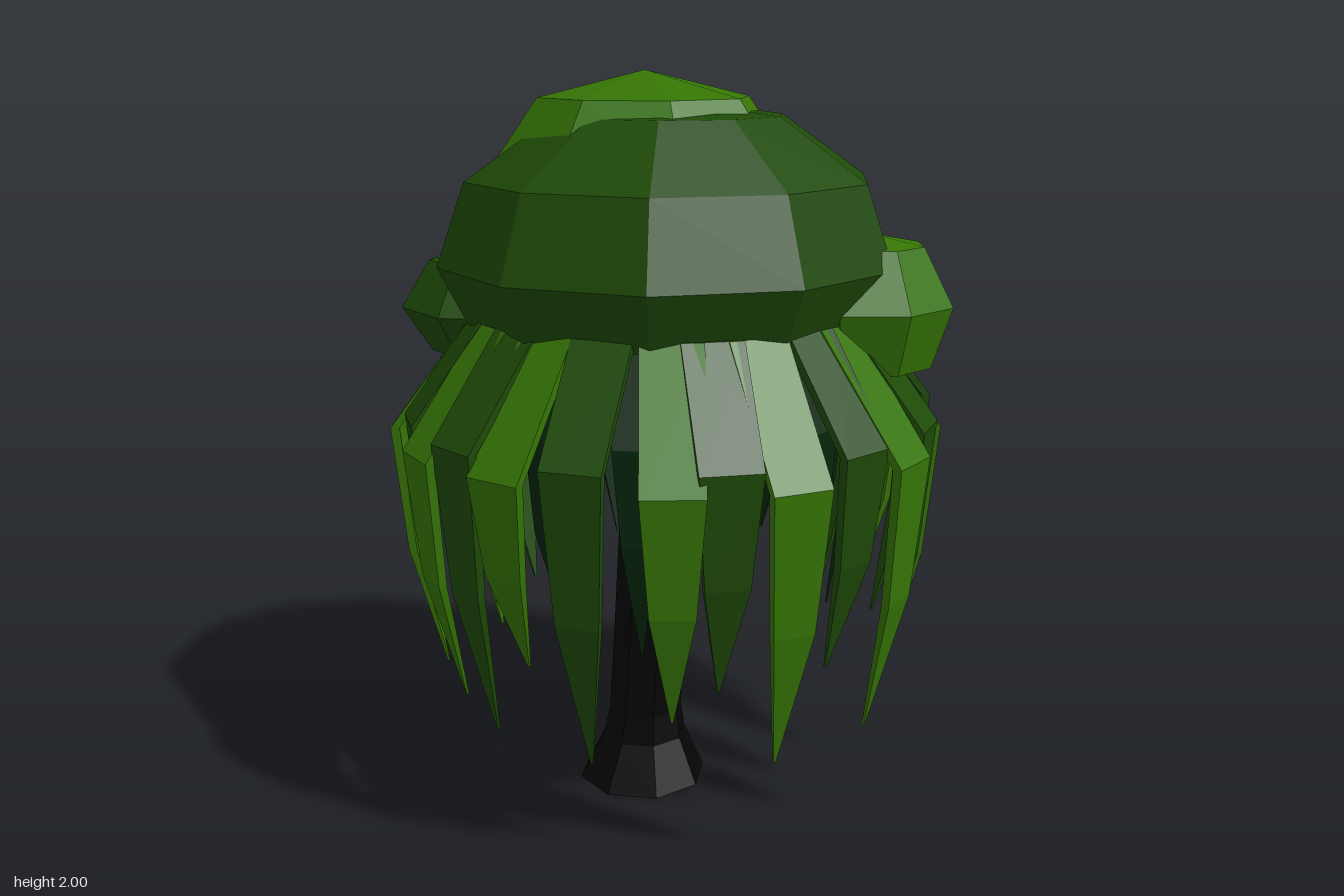
import * as THREE from 'three';

const mat = (name, color) => {
  const m = new THREE.MeshStandardMaterial({ color });
  m.name = name;
  return m;
};

// Faceted normals: every face keeps its own corners
const facet = (geometry) => {
  const g = geometry.index ? geometry.toNonIndexed() : geometry;
  g.computeVertexNormals();
  return g;
};

// Lathe from [radius, height] pairs, listed bottom to top
const turned = (profile, sides, start = 0) =>
  new THREE.LatheGeometry(profile.map(([r, y]) => new THREE.Vector2(r, y)), sides, start);

// Bent, tapering strip; sections run top to tip as [radius, height, width, thickness]
function frondGeometry(sections) {
  const g = new THREE.BoxGeometry(1, 1, 1, 1, sections.length - 1, 1);
  const p = g.attributes.position;
  for (let i = 0; i < p.count; i++) {
    const k = Math.round((0.5 - p.getY(i)) * (sections.length - 1));
    const [r, y, w, t] = sections[k];
    p.setXYZ(i, p.getX(i) * w, y, r + p.getZ(i) * t);
  }
  return facet(g);
}

export function createModel() {
  const tree = new THREE.Group();
  tree.name = 'weepingTree';
  const light = mat('light leaf green', 0x367506);
  const dark = mat('dark leaf green', 0x1e4a07);
  const shade = mat('deep shade green', 0x05250b);
  const bark = mat('black bark', 0x050505);

  const add = (name, geometry, material, x = 0, y = 0, z = 0) => {
    const mesh = new THREE.Mesh(geometry, material);
    mesh.name = name;
    mesh.position.set(x, y, z);
    tree.add(mesh);
    return mesh;
  };

  // Trunk: flared foot, leaning slightly toward +x as it rises
  const trunk = turned([[0, 0], [0.182, 0], [0.12, 0.13], [0.105, 0.21], [0.102, 0.45],
    [0.1, 1.02], [0.07, 1.08], [0, 1.08]], 8);
  const tp = trunk.attributes.position;
  for (let i = 0; i < tp.count; i++) {
    tp.setX(i, tp.getX(i) + tp.getY(i) * 0.05);
  }
  add('trunk', facet(trunk), bark, -0.088, 0, 0.025);

  // Main crown, a little shallower front to back
  const crown = turned([[0, 1.34], [0.3, 1.34], [0.55, 1.345], [0.628, 1.5],
    [0.55, 1.72], [0.312, 1.885], [0, 1.925]], 10, Math.PI / 2);
  crown.scale(1, 1, 0.96);
  add('crown', facet(crown), dark);

  // Bright tuft on top
  add('crownTop', facet(turned([[0, -0.1], [0.29, -0.1], [0.41, 0], [0.29, 0.17], [0, 0.24]], 8)),
    light, -0.055, 1.76, -0.055);

  // Leaf clumps on the sides
  add('leftClump', facet(turned([[0, -0.18], [0.185, -0.165], [0.238, 0], [0.155, 0.155], [0, 0.185]], 8, 0.15)),
    light, 0.485, 1.4, 0.215);
  add('rightClump', facet(turned([[0, -0.14], [0.2, -0.125], [0.28, 0], [0.2, 0.13], [0, 0.18]], 8)),
    dark, -0.425, 1.35, -0.28);

  // Outer ring of hanging fronds, alternating dark and light: [degrees from +x toward +z, tip height]
  const fronds = [[0, 0.43], [13, 0.3], [35, 0.36], [49, 0.3], [61, 0.5], [79, 0.3],
    [92, 0.5], [103, 0.43], [122, 0.3], [139, 0.53], [151, 0.31], [163, 0.37],
    [178, 0.36], [193, 0.33], [213, 0.5], [227, 0.3], [240, 0.42], [255, 0.32],
    [270, 0.48], [286, 0.3], [298, 0.3], [316, 0.31], [332, 0.31], [346, 0.42]];
  fronds.forEach(([degrees, tip], i) => {
    const isLight = i % 2 === 1;
    const bend = (isLight ? 0.74 : 0.72) + 0.012 * Math.cos(i * 2.4);
    const y = isLight ? 1.05 : 1.1;
    const frond = add('outerFrond', frondGeometry([
      [0.51, 1.375, 0.16, 0.025], [bend, y, 0.16, 0.025],
      [bend - 0.03, y - (y - tip) * 0.5, 0.115, 0.022], [bend - 0.11, tip, 0.006, 0.006],
    ]), isLight ? light : dark);
    frond.rotation.y = Math.PI / 2 - THREE.MathUtils.degToRad(degrees);
  });

  // Inner ring of shorter, shaded fronds
  const inner = 12;
  for (let i = 0; i < inner; i++) {
    const tip = 0.58 + 0.05 * Math.sin(i * 2.1);
    const frond = add('innerFrond', frondGeometry([
      [0.36, 1.36, 0.13, 0.025], [0.5, 1.1, 0.13, 0.025],
      [0.49, 0.84, 0.09, 0.022], [0.45, tip, 0.006, 0.006],
    ]), shade);
    frond.rotation.y = ((i + 0.25) / inner) * Math.PI * 2;
  }

  return tree;
}
